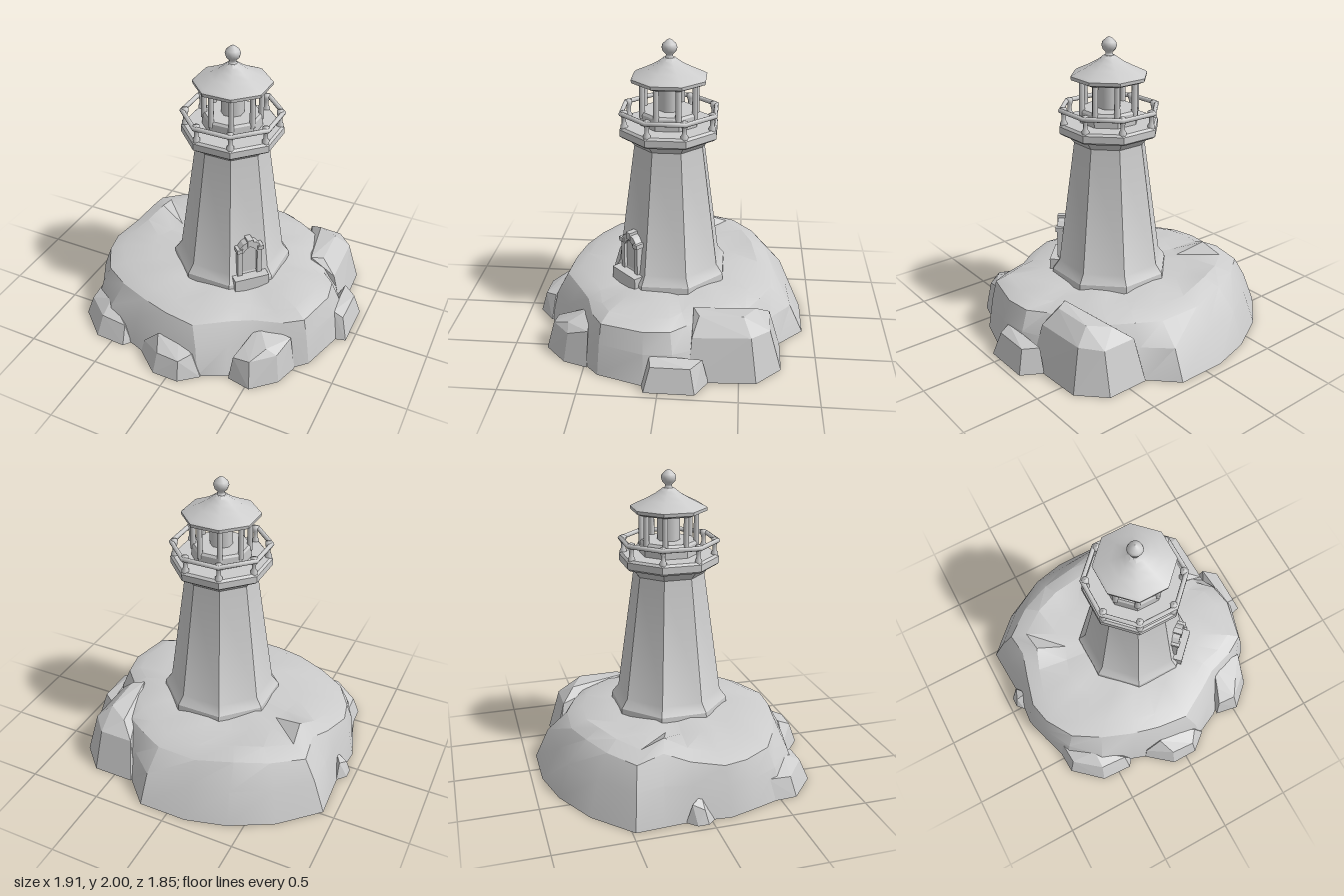
import * as THREE from 'three';
import { toCreasedNormals } from 'three/addons/utils/BufferGeometryUtils.js';
import { ConvexGeometry } from 'three/addons/geometries/ConvexGeometry.js';

const stone = new THREE.MeshStandardMaterial({ color: 0xcccccc });
stone.name = 'paleStone';

const AXIS_X = 0.045;              // tower axis
const CORNER = 1 / Math.cos(Math.PI / 8); // octagon flat radius -> corner radius

function add(parent, name, geometry, x = 0, y = 0, z = 0) {
  const mesh = new THREE.Mesh(geometry, stone);
  mesh.name = name;
  mesh.position.set(x, y, z);
  parent.add(mesh);
  return mesh;
}

// Eight-sided turned part; profile is [flat radius, height] from bottom to top
function octagon(profile) {
  const pts = profile.map(([r, y]) => new THREE.Vector2(r * CORNER, y));
  return toCreasedNormals(new THREE.LatheGeometry(pts, 8, Math.PI / 8), 0.5);
}

// Rock rim: base x, base z, top x, top z, top height
const RIM = [
  [0.89, 0.10, 0.79, 0.10, 0.38], [0.80, 0.40, 0.73, 0.37, 0.385],
  [0.70, 0.50, 0.60, 0.44, 0.37], [0.45, 0.65, 0.43, 0.48, 0.37],
  [0.35, 0.74, 0.30, 0.56, 0.38], [0.18, 0.82, 0.08, 0.69, 0.36],
  [-0.10, 0.84, -0.12, 0.66, 0.37], [-0.35, 0.75, -0.30, 0.62, 0.38],
  [-0.60, 0.71, -0.50, 0.53, 0.37], [-0.80, 0.52, -0.68, 0.43, 0.36],
  [-0.87, 0.30, -0.80, 0.25, 0.36], [-0.92, 0.13, -0.83, 0.10, 0.36],
  [-0.90, -0.10, -0.77, -0.10, 0.39], [-0.91, -0.30, -0.71, -0.25, 0.45],
  [-0.92, -0.48, -0.73, -0.42, 0.40], [-0.68, -0.71, -0.55, -0.55, 0.41],
  [-0.40, -0.86, -0.35, -0.63, 0.41], [-0.13, -0.93, -0.10, -0.68, 0.37],
  [0.20, -0.93, 0.17, -0.66, 0.36], [0.37, -0.76, 0.33, -0.60, 0.37],
  [0.55, -0.70, 0.48, -0.50, 0.37], [0.76, -0.50, 0.60, -0.36, 0.37],
  [0.82, -0.28, 0.66, -0.14, 0.36], [0.88, -0.10, 0.76, -0.06, 0.37],
];

function rockGeometry() {
  const n = RIM.length;
  const mix = THREE.MathUtils.lerp;
  // Rings run from the underside centre, up the flank and in to the summit
  const rings = [
    RIM.map(() => [0, 0, 0]),
    RIM.map(([x, z]) => [x, 0, z]),
    RIM.map(([x, z, tx, tz, ty], i) => {
      const t = 0.38 + 0.08 * Math.sin(i * 2.3);
      return [mix(x, tx, t), ty * 0.55, mix(z, tz, t)];
    }),
    RIM.map(([x, z, tx, tz, ty]) => [mix(x, tx, 0.85), ty * 0.9, mix(z, tz, 0.85)]),
    RIM.map(([, , tx, tz, ty]) => [mix(tx, AXIS_X, 0.1), ty + 0.005, tz * 0.9]),
    RIM.map(([, , tx, tz], i) => [mix(tx, AXIS_X, 0.36), 0.392 + 0.012 * Math.sin(i * 1.9), tz * 0.64]),
    RIM.map(() => [AXIS_X, 0.43, 0]),
  ];
  const index = [];
  for (let r = 0; r < rings.length - 1; r++) {
    for (let i = 0; i < n; i++) {
      const a = r * n + i, b = r * n + (i + 1) % n;
      if (r > 0) index.push(a, a + n, b);
      if (r < rings.length - 2) index.push(a + n, b + n, b);
      else if (r === 0) index.push(a, a + n, b + n);
    }
  }
  const g = new THREE.BufferGeometry();
  g.setAttribute('position', new THREE.Float32BufferAttribute(rings.flat(2), 3));
  g.setIndex(index);
  return toCreasedNormals(g, 0.45);
}

// Boulder: ground outline, and a smaller top outline with heights
function boulder(base, top) {
  const pts = base.map(([x, z]) => new THREE.Vector3(x, 0, z));
  top.forEach(([x, y, z]) => pts.push(new THREE.Vector3(x, y, z)));
  return new ConvexGeometry(pts);
}

function buildRocks(group) {
  add(group, 'rockIsland', rockGeometry());
  add(group, 'frontBoulder', boulder(
    [[-0.27, 0.78], [-0.1, 0.92], [0.08, 0.92], [0.2, 0.82], [0.15, 0.6], [-0.2, 0.6]],
    [[-0.25, 0.09, 0.76], [-0.09, 0.14, 0.87], [0.07, 0.14, 0.88], [0.13, 0.16, 0.8], [-0.14, 0.2, 0.76], [0, 0.2, 0.74]]));
  add(group, 'frontRightBoulder', boulder(
    [[-0.37, 0.74], [-0.41, 0.79], [-0.62, 0.78], [-0.81, 0.61], [-0.82, 0.42], [-0.5, 0.5]],
    [[-0.42, 0.13, 0.73], [-0.6, 0.14, 0.72], [-0.77, 0.13, 0.58], [-0.78, 0.14, 0.42], [-0.6, 0.2, 0.6]]));
  add(group, 'frontLeftBoulder', boulder(
    [[0.37, 0.75], [0.53, 0.78], [0.68, 0.64], [0.73, 0.48], [0.4, 0.5]],
    [[0.39, 0.17, 0.72], [0.51, 0.19, 0.73], [0.65, 0.2, 0.61], [0.69, 0.25, 0.47], [0.43, 0.22, 0.63], [0.58, 0.24, 0.62], [0.47, 0.29, 0.48]]));
  add(group, 'leftBoulder', boulder(
    [[0.82, -0.31], [0.955, -0.23], [0.955, 0.09], [0.88, 0.11], [0.7, 0]],
    [[0.82, 0.17, -0.27], [0.91, 0.16, -0.2], [0.91, 0.16, 0.05], [0.84, 0.2, 0.06]]));
  add(group, 'backLeftBoulder', boulder(
    [[0.35, -0.74], [0.37, -0.77], [0.65, -0.77], [0.81, -0.61], [0.83, -0.18], [0.55, -0.17]],
    [[0.4, 0.28, -0.69], [0.63, 0.28, -0.69], [0.74, 0.29, -0.57], [0.75, 0.28, -0.2],
      [0.5, 0.36, -0.6], [0.64, 0.38, -0.52], [0.65, 0.38, -0.24], [0.57, 0.39, -0.2]]));
  add(group, 'rightBoulder', boulder(
    [[-0.9, -0.16], [-0.955, -0.1], [-0.955, -0.03], [-0.91, 0.02], [-0.8, -0.05]],
    [[-0.9, 0.12, -0.12], [-0.93, 0.09, -0.05], [-0.85, 0.15, -0.05]]));
}

function buildDoor(tower) {
  const door = new THREE.Group();
  door.name = 'doorway';
  door.rotation.y = Math.PI / 4;
  tower.add(door);
  // Pointed arch frame with an opening
  const arch = (w, low, spring, top) => [[-w, low], [w, low], [w, spring], [w * 0.55, top - 0.02],
    [0, top], [-w * 0.55, top - 0.02], [-w, spring]].map(([x, y]) => new THREE.Vector2(x, y));
  const frame = new THREE.Shape(arch(0.085, 0.45, 0.69, 0.755));
  frame.holes.push(new THREE.Path(arch(0.052, 0.48, 0.66, 0.71)));
  add(door, 'doorFrame', new THREE.ExtrudeGeometry(frame, { depth: 0.11, bevelEnabled: false }), 0, 0, 0.24);
  add(door, 'doorPanel', new THREE.BoxGeometry(0.12, 0.24, 0.06), 0, 0.59, 0.298);
  for (const s of [-1, 1]) {
    add(door, 'doorCapital', new THREE.BoxGeometry(0.04, 0.03, 0.1), s * 0.073, 0.69, 0.31);
  }
  add(door, 'keystone', new THREE.BoxGeometry(0.04, 0.05, 0.1), 0, 0.74, 0.307);
  add(door, 'doorStep', new THREE.BoxGeometry(0.24, 0.1, 0.15), 0, 0.43, 0.325);
}

function buildTower(group) {
  const tower = new THREE.Group();
  tower.name = 'tower';
  tower.position.x = AXIS_X;
  group.add(tower);

  add(tower, 'towerBody', octagon([[0.375, 0.37], [0.37, 0.43], [0.328, 0.49], [0.22, 1.32], [0.262, 1.375], [0.262, 1.4]]));
  add(tower, 'galleryFloor', octagon([[0, 1.375], [0.29, 1.375], [0.308, 1.39], [0.308, 1.435], [0.295, 1.45], [0, 1.45]]));

  // Railing: posts on the corners under an octagonal rail
  const rail = add(tower, 'galleryRail',
    new THREE.TorusGeometry(0.298 * CORNER, 0.016, 8, 8).rotateZ(Math.PI / 8), 0, 1.54, 0);
  rail.rotation.x = Math.PI / 2;
  const baluster = new THREE.LatheGeometry([[0.024, 1.44], [0.024, 1.46], [0.015, 1.475], [0.014, 1.505],
    [0.022, 1.53], [0.024, 1.555], [0, 1.565]].map(([r, y]) => new THREE.Vector2(r, y)), 8);
  const lanternPost = new THREE.CylinderGeometry(0.017, 0.02, 0.24, 8);
  for (let i = 0; i < 8; i++) {
    const a = (i + 0.5) * Math.PI / 4, c = Math.cos(a), s = Math.sin(a);
    add(tower, 'railPost', baluster, c * 0.303, 0, s * 0.303);
    add(tower, 'lanternPost', lanternPost, c * 0.182, 1.62, s * 0.182);
  }

  // Lantern room
  add(tower, 'lanternWall', octagon([[0.18, 1.44], [0.18, 1.525], [0.17, 1.54], [0, 1.54]]));
  add(tower, 'lampCore', new THREE.CylinderGeometry(0.075, 0.075, 0.22, 8).rotateY(Math.PI / 8), 0, 1.63, 0);

  add(tower, 'roof', octagon([[0, 1.72], [0.2, 1.72], [0.232, 1.735], [0.235, 1.757], [0.215, 1.77],
    [0.14, 1.808], [0.085, 1.84], [0.052, 1.865], [0.035, 1.88], [0, 1.885]]));
  add(tower, 'finial', new THREE.LatheGeometry([[0.045, 1.865], [0.024, 1.885], [0.022, 1.9], [0.042, 1.92],
    [0.05, 1.945], [0.043, 1.968], [0.018, 1.99], [0, 2.0]].map(([r, y]) => new THREE.Vector2(r, y)), 16));

  buildDoor(tower);
}

export function createModel() {
  const group = new THREE.Group();
  group.name = 'lighthouse';
  buildRocks(group);
  buildTower(group);
  return group;
}
